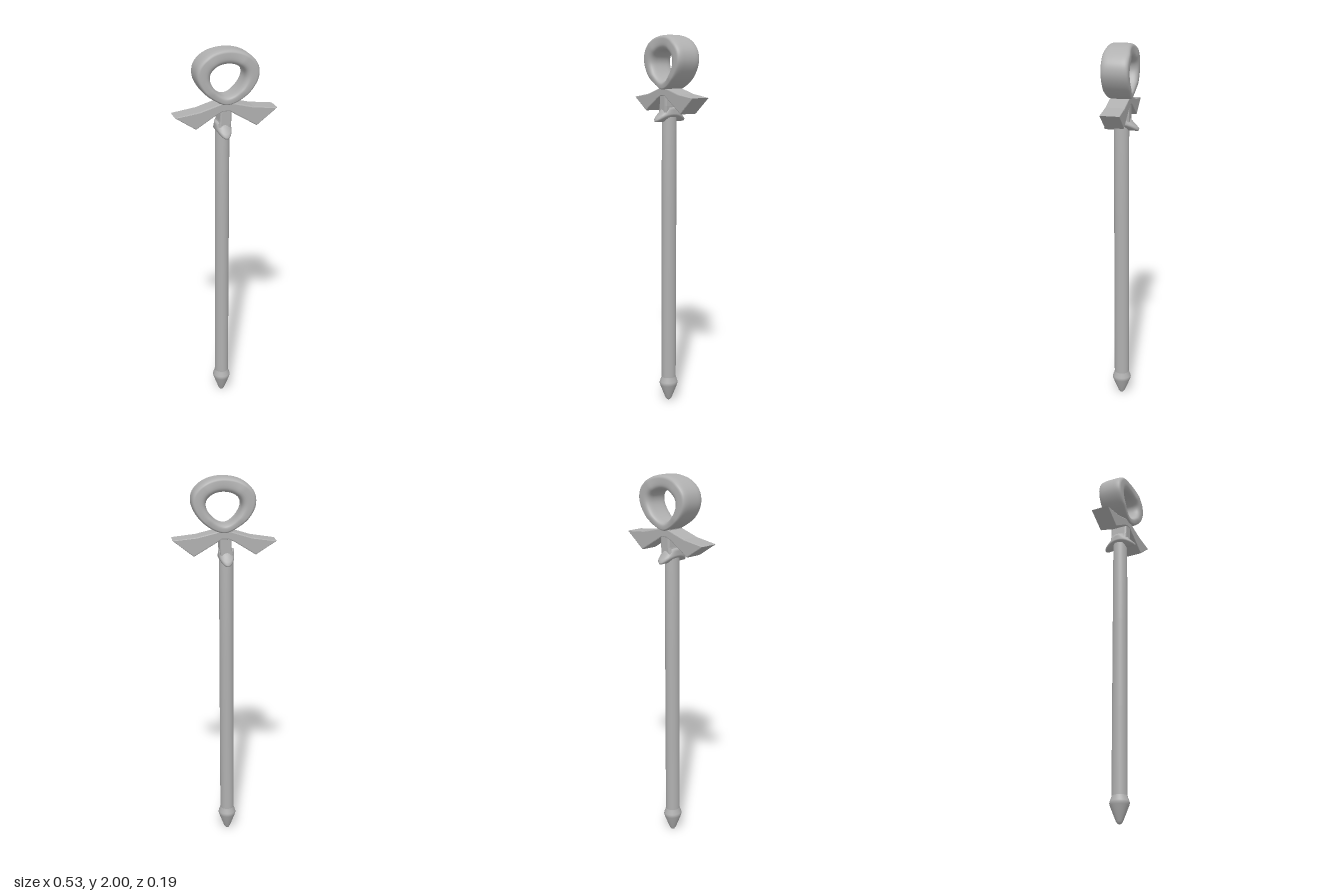
import * as THREE from 'three';
import { mergeVertices } from 'three/addons/utils/BufferGeometryUtils.js';

const grey = new THREE.MeshStandardMaterial({ color: 0xb0b0b0 });
grey.name = 'grey metal';

const vec = ([x, y]) => new THREE.Vector3(x, y, 0);
const loop = (pts) => new THREE.CatmullRomCurve3(pts.map(vec), true);
const signedPow = (v, e) => Math.sign(v) * Math.pow(Math.abs(v), e);

// Move every vertex by a rule, then weld and smooth the surface
function reshape(geo, rule) {
  const p = geo.attributes.position, v = new THREE.Vector3();
  for (let i = 0; i < p.count; i++) {
    rule(v.fromBufferAttribute(p, i), i);
    p.setXYZ(i, v.x, v.y, v.z);
  }
  geo.deleteAttribute('uv');
  geo.deleteAttribute('normal');
  const welded = mergeVertices(geo, 1e-5);
  welded.computeVertexNormals();
  return welded;
}

// Teardrop ring: a torus mapped between an outer and an inner outline
function ringGeometry() {
  const outer = loop([[0.01, 2], [-0.09, 1.98], [-0.15, 1.925], [-0.158, 1.86], [-0.12, 1.79], [-0.045, 1.735],
    [0, 1.72], [0.06, 1.738], [0.13, 1.795], [0.166, 1.865], [0.157, 1.925], [0.1, 1.978]]);
  const inner = loop([[0.008, 1.925], [-0.045, 1.915], [-0.077, 1.888], [-0.085, 1.855], [-0.066, 1.81], [-0.03, 1.775],
    [-0.003, 1.766], [0.03, 1.775], [0.07, 1.81], [0.092, 1.855], [0.087, 1.888], [0.055, 1.915]]);
  const around = 72, section = 32;
  return reshape(new THREE.TorusGeometry(1, 0.3, section, around), (v, i) => {
    const t = (i % (around + 1)) / around % 1;
    const a = (Math.floor(i / (around + 1)) % section) / section * Math.PI * 2;
    const o = outer.getPoint(t), n = inner.getPoint(t), c = Math.cos(a);
    const k = 0.5 + 0.5 * signedPow(c, c > 0 ? 0.4 : 0.75);
    // the band is a little deeper at both sides than in the middle
    const depth = 0.061 + 0.009 * Math.min(1, (o.x / 0.11) ** 2);
    v.lerpVectors(n, o, k);
    v.z = depth * signedPow(Math.sin(a), 0.5);
  });
}

// Flat piece cut from an outline, with softened edges
function plate(points, half, bevel = 0.005) {
  const geo = new THREE.ExtrudeGeometry(new THREE.Shape(points.map(([x, y]) => new THREE.Vector2(x, y))), {
    depth: 2 * (half - bevel), bevelThickness: bevel, bevelSize: bevel, bevelOffset: -bevel, bevelSegments: 2,
  });
  return geo.translate(0, 0, bevel - half);
}

export function createModel() {
  const group = new THREE.Group();
  const add = (name, geo) => {
    const mesh = new THREE.Mesh(geo, grey);
    mesh.name = name;
    group.add(mesh);
    return mesh;
  };

  add('ring', ringGeometry());

  // Ribbon tails under the ring
  add('rightRibbon', plate([[0, 1.742], [0, 1.69], [-0.02, 1.69], [-0.05, 1.677], [-0.16, 1.608],
    [-0.267, 1.677], [-0.14, 1.697], [-0.04, 1.728]].reverse(), 0.05));
  add('leftRibbon', plate([[-0.01, 1.742], [-0.01, 1.69], [0.015, 1.69], [0.04, 1.674], [0.156, 1.605],
    [0.264, 1.69], [0.14, 1.704], [0.04, 1.728]], 0.05));

  // Neck between the ribbons and the shaft
  add('neck', plate([[-0.04, 1.735], [-0.034, 1.69], [-0.037, 1.64], [-0.045, 1.6], [-0.013, 1.575],
    [0.02, 1.6], [0.024, 1.64], [0.024, 1.69], [0.035, 1.735]], 0.048, 0.009));

  // Collar flaring to front and back, its underside rounded from side to side
  const rings = [[1.556, 0], [1.557, 0.088], [1.566, 0.093], [1.58, 0.082], [1.605, 0.056], [1.63, 0.043], [1.635, 0]];
  const collar = new THREE.LatheGeometry(rings.map(([y, r]) => new THREE.Vector2(r, y)), 32);
  add('collar', reshape(collar, (v) => {
    const r = Math.hypot(v.x, v.z);
    const half = Math.min(r, 0.041);
    const s = r > 0 ? v.x / r : 0;
    v.x = s * half;
    v.y += 0.034 * (v.x / 0.041) ** 2 * THREE.MathUtils.clamp((1.635 - v.y) / 0.07, 0, 1);
    v.x -= 0.012;
  }));

  // Long shaft and pointed tip, leaning very slightly
  const lean = (v) => {
    v.x = v.x * 0.97 - 0.02 + 0.0045 * v.y;
    v.z *= 1.04;
  };
  const turned = (pts) => reshape(new THREE.LatheGeometry(pts.map(([r, y]) => new THREE.Vector2(r, y)), 32), lean);
  add('shaft', turned([[0.039, 0.12], [0.039, 0.6], [0.0385, 1.1], [0.038, 1.58], [0, 1.6]]));
  add('tip', turned([[0, 0], [0.009, 0.003], [0.017, 0.014], [0.034, 0.058], [0.047, 0.093], [0.05, 0.104],
    [0.048, 0.113], [0.041, 0.132], [0.038, 0.145]]));

  return group;
}
